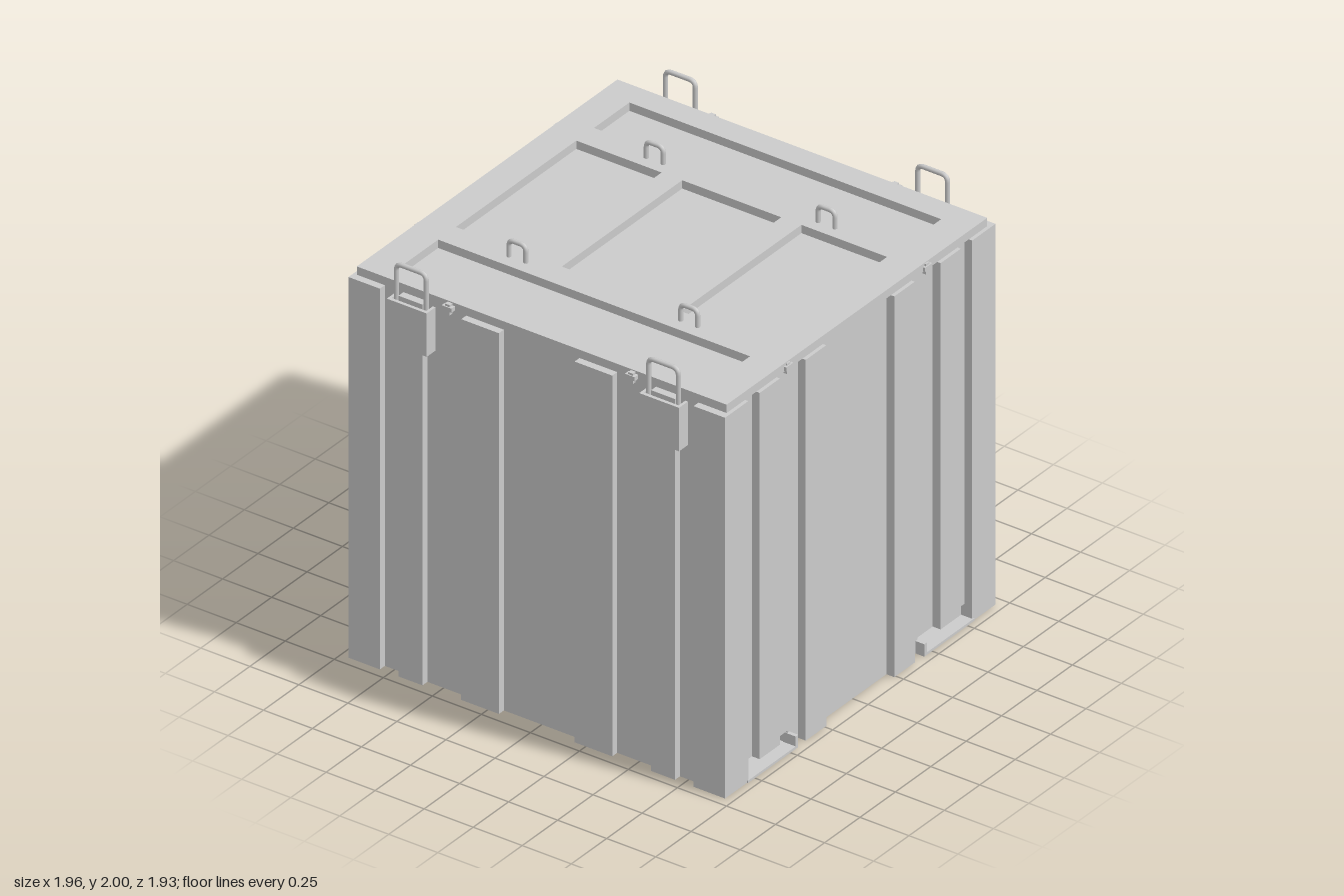
import * as THREE from 'three';

const mat = new THREE.MeshStandardMaterial({ color: 0xcccccc, flatShading: true });
const smooth = new THREE.MeshStandardMaterial({ color: 0xcccccc });

// Box given by its min/max limits on each axis
function box(parent, name, x0, x1, y0, y1, z0, z1) {
  const m = new THREE.Mesh(new THREE.BoxGeometry(x1 - x0, y1 - y0, z1 - z0), mat);
  m.position.set((x0 + x1) / 2, (y0 + y1) / 2, (z0 + z1) / 2);
  m.name = name;
  parent.add(m);
  return m;
}

// Same box repeated at an x and/or z sign
function signed(parent, name, sx, sz, x0, x1, y0, y1, z0, z1) {
  const m = box(parent, name, x0, x1, y0, y1, z0, z1);
  m.position.x *= sx;
  m.position.z *= sz;
  return m;
}

// Upright U of round bar in the plane of constant x, with rounded shoulders
function bail(parent, name, x, zc, half, y0, y1, bar, corner) {
  const v = (z, y) => new THREE.Vector3(x, y, zc + z);
  const path = new THREE.CurvePath();
  path.add(new THREE.LineCurve3(v(-half, y0), v(-half, y1 - corner)));
  path.add(new THREE.QuadraticBezierCurve3(v(-half, y1 - corner), v(-half, y1), v(-half + corner, y1)));
  path.add(new THREE.LineCurve3(v(-half + corner, y1), v(half - corner, y1)));
  path.add(new THREE.QuadraticBezierCurve3(v(half - corner, y1), v(half, y1), v(half, y1 - corner)));
  path.add(new THREE.LineCurve3(v(half, y1 - corner), v(half, y0)));
  const m = new THREE.Mesh(new THREE.TubeGeometry(path, 60, bar, 8), smooth);
  m.name = name;
  parent.add(m);
}

function rect(path, x0, x1, y0, y1) {
  path.moveTo(x0, y0);
  path.lineTo(x1, y0);
  path.lineTo(x1, y1);
  path.lineTo(x0, y1);
  path.closePath();
  return path;
}

export function createModel() {
  const root = new THREE.Group();
  root.name = 'container';
  const W = 0.92, OX = 0.955, OZ = 0.96;    // wall plane, outer rib planes
  const TOP = 1.84, LID = 1.88;
  const F = 0.012, P = 0.07;                // fork pocket floor and ceiling
  const PI = 0.46, PO = 0.8;                // fork pocket inner and outer x

  // Core, split at the bottom by two tunnels running front to back
  const body = new THREE.Group();
  body.name = 'body';
  root.add(body);
  box(body, 'walls', -W, W, P, TOP, -W, W);
  box(body, 'floor', -W, W, 0, F, -W, W);
  box(body, 'lowerCentre', -PI, PI, F, P, -W, W);
  for (const s of [-1, 1]) signed(body, 'lowerSide', s, 1, PO, W, F, P, -W, W);

  // Corner posts, wall ribs and fork pocket rims
  const ribs = new THREE.Group();
  ribs.name = 'ribs';
  root.add(ribs);
  for (const sx of [-1, 1]) for (const sz of [-1, 1]) {
    signed(ribs, 'cornerPost', sx, sz, 0.79, OX, 0, TOP, 0.8, OZ);
    signed(ribs, 'endRibInner', sx, sz, 0.24, 0.385, 0, TOP, 0.9, OZ);
    signed(ribs, 'endRibOuter', sx, sz, 0.567, 0.71, P, TOP, 0.9, OZ);
    signed(ribs, 'sideRibInner', sx, sz, 0.9, OX, 0, TOP, 0.193, 0.385);
    signed(ribs, 'sideRibOuter', sx, sz, 0.9, OX, 0, TOP, 0.583, 0.705);
    signed(ribs, 'pocketSill', sx, sz, 0.445, PO, 0, F, 0.9, 0.965);
    signed(ribs, 'pocketRim', sx, sz, 0.445, 0.463, F, 0.06, 0.9, 0.965);
  }

  // Lid frame with sunken panels
  const lidShape = rect(new THREE.Shape(), -W, W, -0.943, 0.943);
  const panels = [
    [-0.8, -0.55, -0.795, 0.795], [0.55, 0.8, -0.795, 0.795],
    [-0.425, 0.425, -0.79, -0.353], [-0.425, 0.425, -0.25, 0.255], [-0.425, 0.425, 0.36, 0.795],
  ];
  for (const p of panels) lidShape.holes.push(rect(new THREE.Path(), ...p));
  const lidGeo = new THREE.ExtrudeGeometry(lidShape, { depth: LID - TOP, bevelEnabled: false });
  lidGeo.rotateX(-Math.PI / 2);
  const lid = new THREE.Mesh(lidGeo, mat);
  lid.name = 'lid';
  lid.position.y = TOP;
  root.add(lid);

  // Lid handles, latches, and bail loops in open side brackets
  const fittings = new THREE.Group();
  fittings.name = 'fittings';
  root.add(fittings);
  for (const sx of [-1, 1]) for (const sz of [-1, 1]) {
    bail(fittings, 'lidHandle', sx * 0.485, sz * 0.438, 0.043, 1.86, 1.96, 0.011, 0.028);
    signed(fittings, 'endLatch', sx, sz, 0.465, 0.515, 1.845, 1.865, 0.92, 0.955);
    signed(fittings, 'endLatchPin', sx, sz, 0.478, 0.502, 1.825, 1.875, 0.92, 0.95);
    signed(fittings, 'sideLatch', sx, sz, 0.9, 0.945, 1.845, 1.865, 0.442, 0.492);
    signed(fittings, 'sideLatchPin', sx, sz, 0.9, 0.94, 1.825, 1.875, 0.455, 0.479);

    const b = new THREE.Group();
    b.name = 'liftBracket';
    fittings.add(b);
    signed(b, 'bracketPlate', sx, sz, 0.966, 0.982, 1.615, 1.825, 0.542, 0.745);
    signed(b, 'bracketCheek', sx, sz, 0.915, 0.97, 1.615, 1.825, 0.542, 0.555);
    signed(b, 'bracketCheek', sx, sz, 0.915, 0.97, 1.615, 1.825, 0.732, 0.745);
    bail(b, 'liftLoop', sx * 0.95, sz * 0.643, 0.076, 1.7, 1.989, 0.011, 0.03);
  }
  return root;
}
